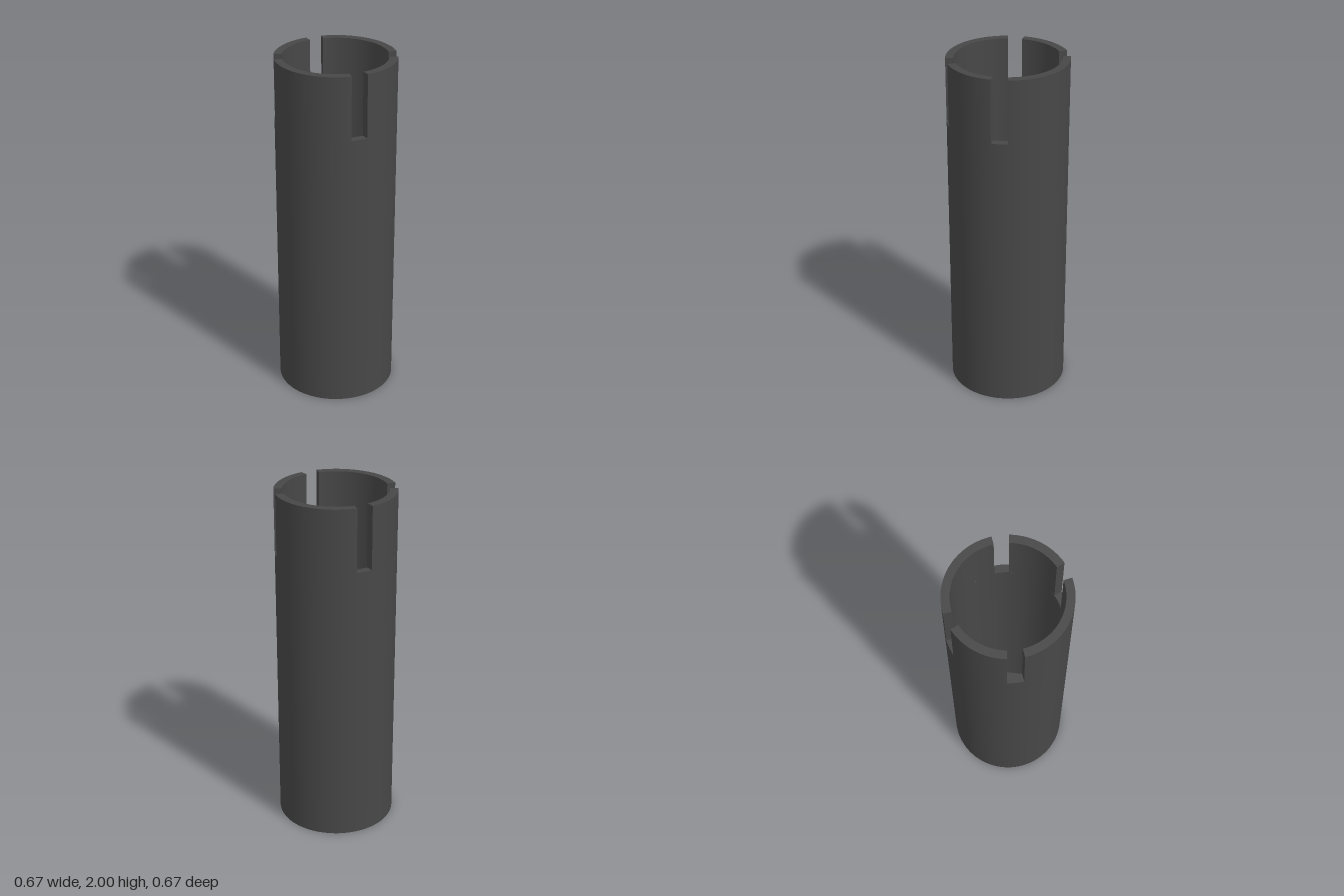
import * as THREE from 'three';
import { mergeGeometries } from 'three/addons/utils/BufferGeometryUtils.js';

const R = 0.337, r = 0.291;          // outer and inner radius
const H = 2, SLOT_Y = 1.64, FLOOR = 0.046;
const rad = THREE.MathUtils.degToRad;
const SLOT = rad(15.4);              // slot width as an angle
const slots = [58, 130, 238, 310].map(rad);

// Sweep one straight profile edge around the axis, keeping corners sharp
function sweep(a, b, start = 0, length = Math.PI * 2) {
  const n = Math.max(4, Math.round(length / (Math.PI * 2) * 128));
  return new THREE.LatheGeometry([new THREE.Vector2(...a), new THREE.Vector2(...b)], n, start, length);
}

// Radial wall at one side of a slot
function slotSide(phi, flip) {
  const g = new THREE.PlaneGeometry(R - r, H - SLOT_Y);
  if (flip) g.rotateY(Math.PI);
  return g.translate((R + r) / 2, (H + SLOT_Y) / 2, 0).rotateY(phi - Math.PI / 2);
}

export function createModel() {
  const group = new THREE.Group();
  const charcoal = new THREE.MeshStandardMaterial({ color: 0x474747 });
  charcoal.name = 'charcoal';
  const add = (name, parts) => {
    const mesh = new THREE.Mesh(mergeGeometries(parts), charcoal);
    mesh.name = name;
    group.add(mesh);
  };

  // Closed-bottom cup below the slots
  add('cupBody', [
    sweep([0, 0], [R, 0]),
    sweep([R, 0], [R, SLOT_Y]),
    sweep([r, SLOT_Y], [r, FLOOR]),
    sweep([r, FLOOR], [0, FLOOR]),
  ]);

  // Rim segments standing between neighbouring slots, and the slots themselves
  slots.forEach((centre, i) => {
    const start = centre + SLOT / 2;
    const next = i < 3 ? slots[i + 1] : slots[0] + Math.PI * 2;
    const length = next - SLOT / 2 - start;
    add('rimSegment' + (i + 1), [
      sweep([R, SLOT_Y], [R, H], start, length),
      sweep([R, H], [r, H], start, length),
      sweep([r, H], [r, SLOT_Y], start, length),
    ]);
    add('slotFaces' + (i + 1), [
      sweep([R, SLOT_Y], [r, SLOT_Y], centre - SLOT / 2, SLOT),
      slotSide(centre - SLOT / 2, true),
      slotSide(centre + SLOT / 2, false),
    ]);
  });
  return group;
}
